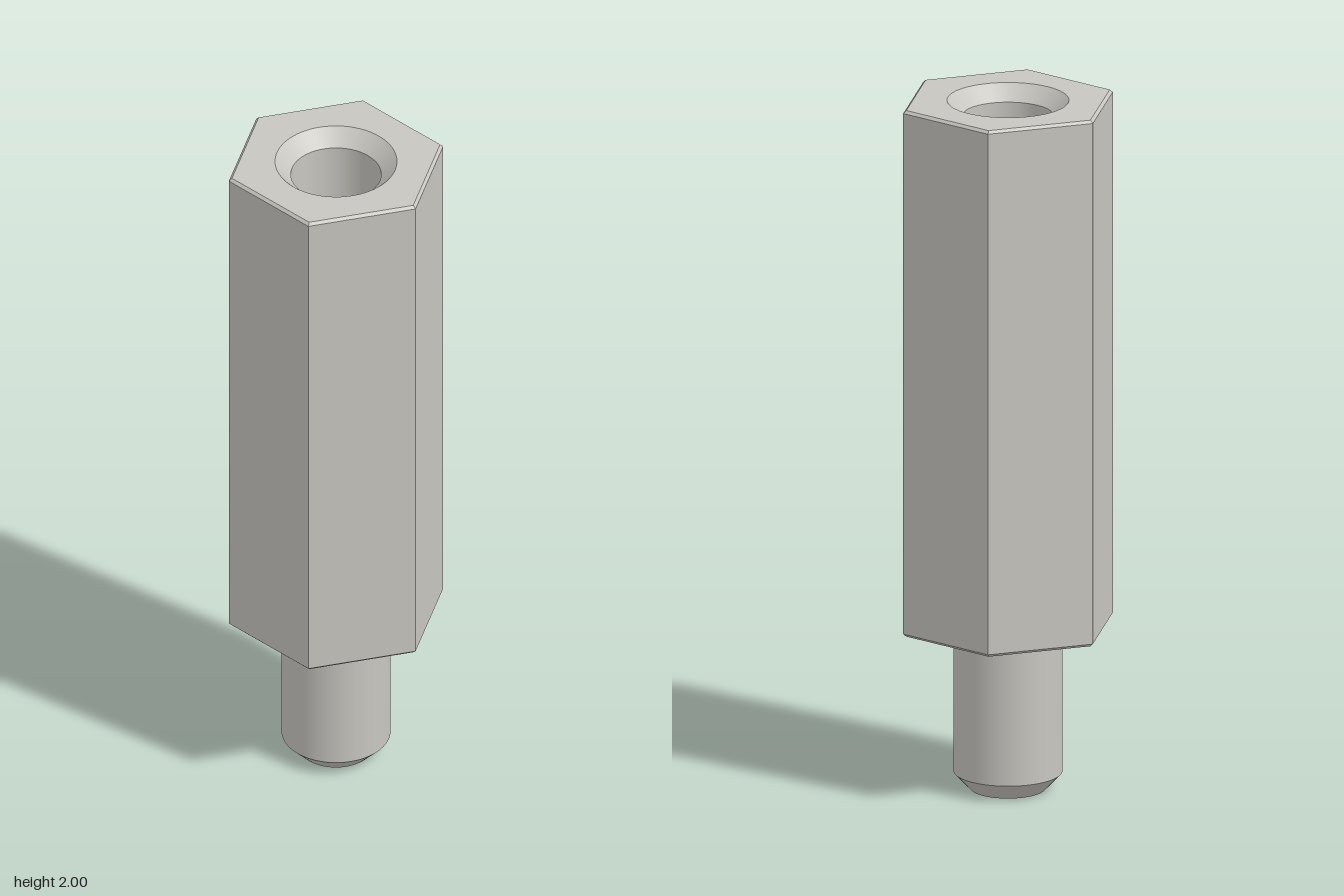
import * as THREE from 'three';
import { mergeGeometries } from 'three/addons/utils/BufferGeometryUtils.js';

const HEX_R = 0.31, HEX_INSET = 0.301;        // corner radii of the body and its bevelled ends
const BODY_Y = 0.47, TOP_Y = 2, BEVEL = 0.008;
const PIN_R = 0.152, MOUTH_R = 0.17, BORE_R = 0.126;

// Revolve each profile segment on its own so every edge stays crisp
function revolve(profile, segments = 64) {
  const pts = profile.map(([r, y]) => new THREE.Vector2(r, y));
  return mergeGeometries(pts.slice(1).map((p, i) => new THREE.LatheGeometry([pts[i], p], segments)));
}

// Open six-sided band with corners on the x axis
function hexBand(rBottom, rTop, y0, y1) {
  return new THREE.CylinderGeometry(rTop, rBottom, y1 - y0, 6, 1, true)
    .rotateY(Math.PI / 2)
    .translate(0, (y0 + y1) / 2, 0)
    .toNonIndexed();
}

// Hexagonal end face with a round hole
function hexFace(holeR, y, up) {
  const shape = new THREE.Shape();
  for (let i = 0; i < 6; i++) {
    const a = i * Math.PI / 3;
    const x = HEX_INSET * Math.cos(a), z = HEX_INSET * Math.sin(a);
    if (i === 0) shape.moveTo(x, z); else shape.lineTo(x, z);
  }
  shape.closePath();
  shape.holes.push(new THREE.Path().absarc(0, 0, holeR, 0, Math.PI * 2, true));
  return new THREE.ShapeGeometry(shape, 32)
    .rotateX(up ? -Math.PI / 2 : Math.PI / 2)
    .translate(0, y, 0)
    .toNonIndexed();
}

export function createModel() {
  const model = new THREE.Group();
  model.name = 'hexStandoff';
  const metal = new THREE.MeshStandardMaterial({ color: 0xc8c6c0 });
  metal.name = 'satinMetal';

  function add(name, geometry) {
    const mesh = new THREE.Mesh(geometry, metal);
    mesh.name = name;
    model.add(mesh);
  }

  // Hexagonal body with slim bevels at both ends
  const body = mergeGeometries([
    hexBand(HEX_INSET, HEX_R, BODY_Y, BODY_Y + BEVEL),
    hexBand(HEX_R, HEX_R, BODY_Y + BEVEL, TOP_Y - BEVEL),
    hexBand(HEX_R, HEX_INSET, TOP_Y - BEVEL, TOP_Y),
    hexFace(MOUTH_R, TOP_Y, true),
    hexFace(PIN_R, BODY_Y, false),
  ]);
  body.computeVertexNormals();
  add('hexBody', body);

  // Countersunk blind bore
  add('bore', revolve([[MOUTH_R, TOP_Y], [BORE_R, TOP_Y - 0.044], [BORE_R, 1.1], [0, 1.1]]));

  // Round pin with a chamfered tip
  add('pin', revolve([[0, 0], [0.105, 0], [PIN_R, 0.05], [PIN_R, BODY_Y]]));

  return model;
}
